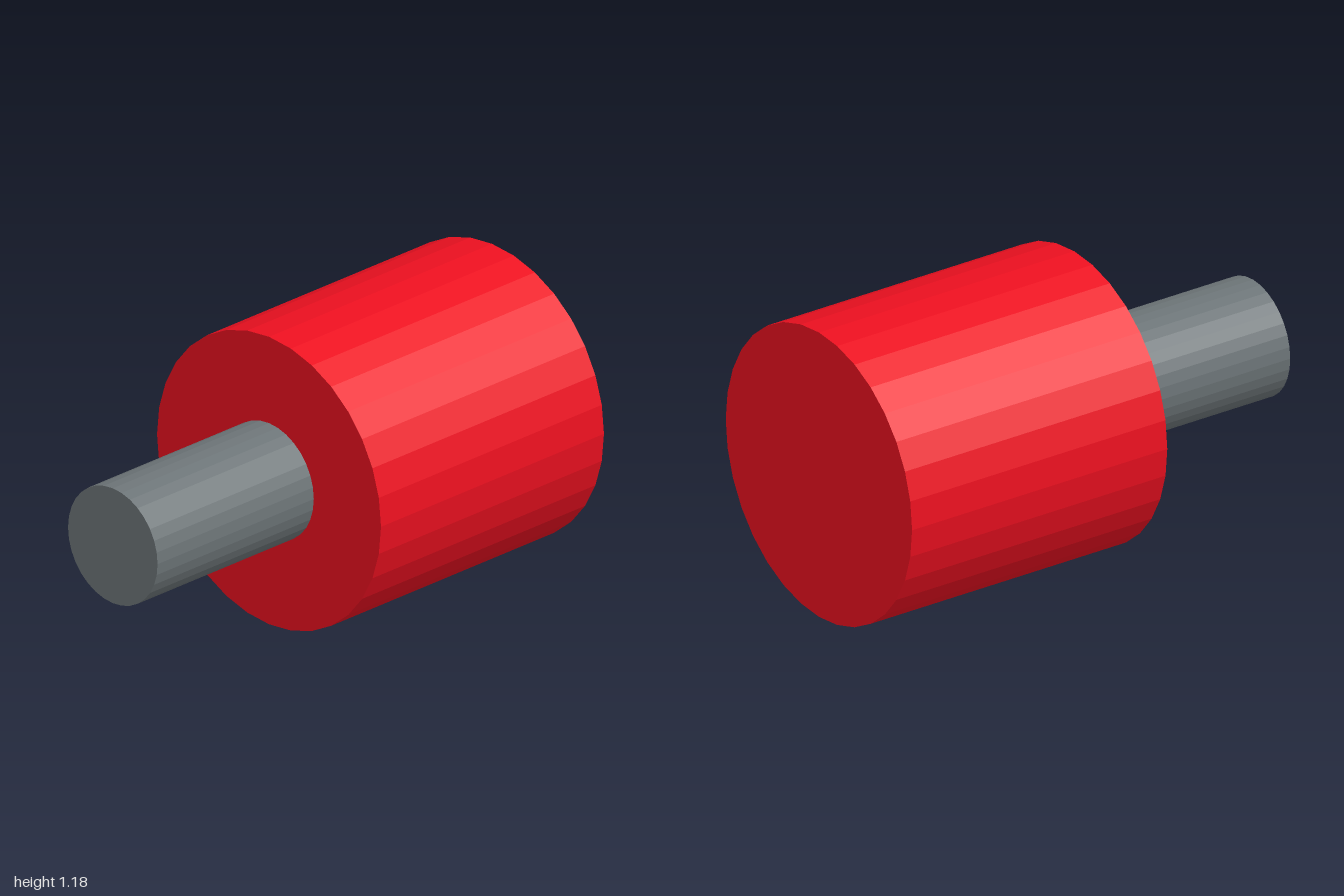
import * as THREE from 'three';

const AXIS_Y = 0.588;

// Faceted 32-sided cylinder lying along x between two ends
function barrel(name, radius, x0, x1, color) {
  const geometry = new THREE.CylinderGeometry(radius, radius, x1 - x0, 32);
  geometry.rotateZ(-Math.PI / 2);
  const mesh = new THREE.Mesh(
    geometry,
    new THREE.MeshStandardMaterial({ color, flatShading: true })
  );
  mesh.name = name;
  mesh.position.set((x0 + x1) / 2, AXIS_Y, 0);
  return mesh;
}

export function createModel() {
  const model = new THREE.Group();
  model.name = 'steppedCylinder';
  // Wide red head on a narrow grey shaft
  model.add(barrel('head', 0.588, -0.176, 1, 0xed1020));
  model.add(barrel('shaft', 0.235, -1, -0.176, 0x6d7578));
  return model;
}
